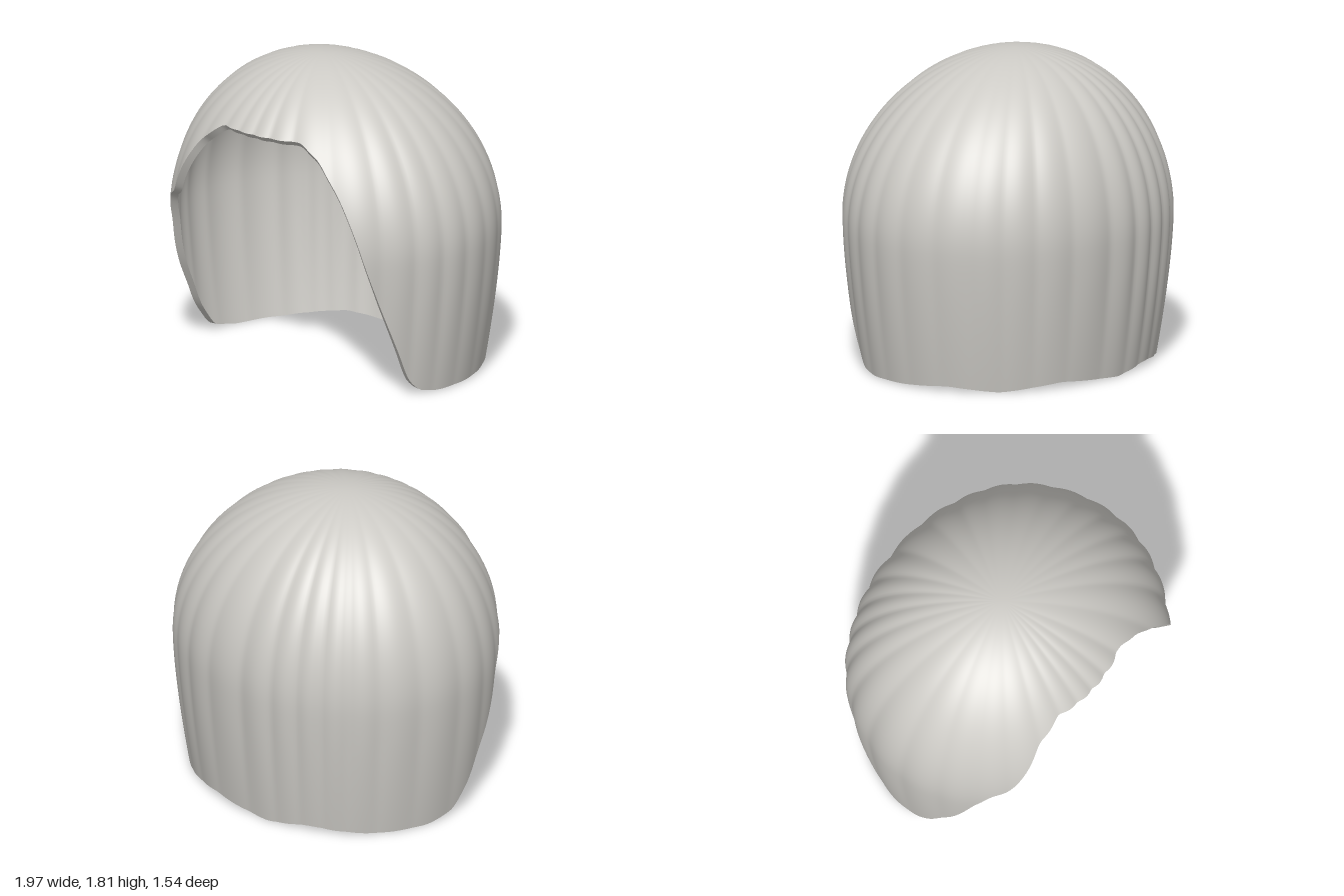
import * as THREE from 'three';
import { mergeVertices } from 'three/addons/utils/BufferGeometryUtils.js';

const COLS = 288, ROWS = 44;
const MID = 0.85, DOME = 0.97, CZ = 0.1; // widest height, dome height, axis depth
const RAD = Math.PI / 180;

// Angles in degrees: 0 = front, +90 = model's left, 180 = back
const HEM = [[-180, 0.02], [-165, 0.005], [-147, 0.04], [-122, 0.01], [-100, 0.005], [-88, 0.04], [-80, 0.2],
  [-70, 0.5], [-62, 0.8], [-57, 0.95], [-50, 1.0], [-44.6, 1.15], [-37, 1.36], [-25, 1.48], [25, 1.48],
  [33.6, 1.4], [41.8, 1.2], [46.5, 1.0], [50.3, 0.8], [55, 0.6], [60, 0.4], [68, 0.1], [73, 0.03], [80, 0.01],
  [100, 0.015], [118, 0.035], [138, 0.005], [163, 0.04], [180, 0.02]];
const RADIUS = [[0, 0.87], [25, 0.885], [45, 0.92], [60, 0.94], [75, 0.97], [90, 0.988], [110, 0.978],
  [130, 0.955], [150, 0.9], [180, 0.86]];

function sample(table, x) {
  let i = 1;
  while (i < table.length - 1 && table[i][0] < x) i++;
  const [x0, y0] = table[i - 1], [x1, y1] = table[i];
  return y0 + (y1 - y0) * (x - x0) / (x1 - x0);
}

const wrap = (d) => ((d + 540) % 360) - 180;

// Rounds off table corners by averaging over a small window
function smooth(fn, d, width) {
  let sum = 0;
  for (let k = -4; k <= 4; k++) sum += fn(wrap(d + (k * width) / 4));
  return sum / 9;
}

const hemAt = (d) => smooth((a) => sample(HEM, a), d, 1.8);
const radiusAt = (d) => smooth((a) => sample(RADIUS, Math.abs(a)), d, 9);

// Uneven hair locks: rounded ridges with tighter grooves between
function ridge(d) {
  const p = d * RAD;
  const lock = Math.abs(Math.sin(14 * p + 0.9 * Math.sin(3 * p + 1) + 0.5 * Math.sin(5 * p)));
  return (Math.sqrt(lock * lock + 0.03) - 0.7) * 0.02 * (0.75 + 0.25 * Math.sin(2 * p + 0.6));
}

// Point of the shell at column angle d, from crown (v = 0) to hem (v = 1)
function shellPoint(d, v, scale) {
  const hem = hemAt(d);
  const aMax = hem > MID ? Math.acos((hem - MID) / DOME) : Math.PI / 2 + (MID - hem) / DOME;
  const a = aMax * v;
  let y, f, cx = 0;
  if (a < Math.PI / 2) {
    const c = Math.cos(a);
    y = MID + DOME * c * scale;
    f = Math.sin(a);
    cx = -0.07 * c * c;
  } else {
    const drop = (a - Math.PI / 2) * DOME;
    y = MID - drop;
    f = 1 - 0.13 * Math.pow(drop, 1.5);
  }
  const fade = y < 0.6 ? 0.35 + 0.65 * Math.max(y, 0) / 0.6 : 1;
  const r = (radiusAt(d) + ridge(d) * fade) * f * scale;
  return [cx + r * Math.sin(d * RAD), y, CZ + r * Math.cos(d * RAD)];
}

// Grid of points over all columns; flip turns the faces inward
function gridGeometry(rows, point, flip) {
  const pos = [], index = [];
  for (let j = 0; j <= rows; j++) {
    for (let i = 0; i < COLS; i++) pos.push(...point(-180 + (360 * i) / COLS, j / rows));
  }
  for (let j = 0; j < rows; j++) {
    for (let i = 0; i < COLS; i++) {
      const n = (i + 1) % COLS;
      const a = j * COLS + i, b = j * COLS + n, c = a + COLS, e = b + COLS;
      if (flip) index.push(a, b, c, b, e, c);
      else index.push(a, c, b, b, c, e);
    }
  }
  let geo = new THREE.BufferGeometry();
  geo.setAttribute('position', new THREE.Float32BufferAttribute(pos, 3));
  geo.setIndex(index);
  geo = mergeVertices(geo, 1e-5); // closes the crown
  geo.computeVertexNormals();
  return geo;
}

export function createModel() {
  const group = new THREE.Group();
  group.name = 'hairShell';
  const hair = new THREE.MeshStandardMaterial({ color: 0xcccac5 });
  hair.name = 'pale grey';
  hair.side = THREE.DoubleSide;
  const INNER = 0.952;

  const add = (name, geo) => {
    const mesh = new THREE.Mesh(geo, hair);
    mesh.name = name;
    group.add(mesh);
  };

  // Outer hair, inner lining and the cut edge joining them
  add('outerHair', gridGeometry(ROWS, (d, v) => shellPoint(d, v, 1), false));
  add('innerLining', gridGeometry(ROWS, (d, v) => shellPoint(d, v, INNER), true));
  add('hemEdge', gridGeometry(1, (d, v) => shellPoint(d, 1, 1 + (INNER - 1) * v), false));
  return group;
}
